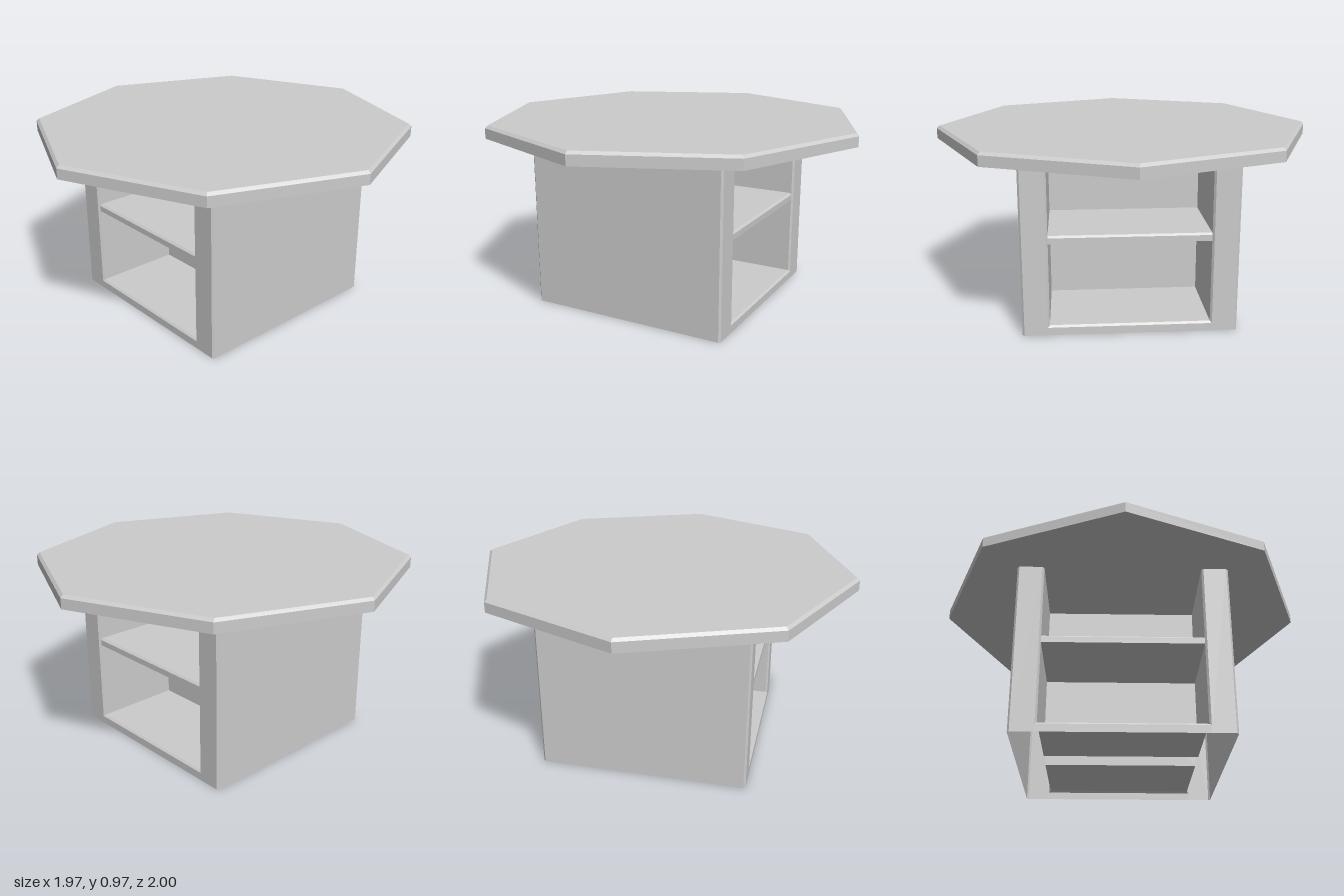
import * as THREE from 'three';

const wood = new THREE.MeshStandardMaterial({ color: 0xcccccc, flatShading: true, side: THREE.DoubleSide });
wood.name = 'pale grey';

const HALF = 0.54;      // half width of the base
const TOP = 0.905;      // underside of the table top
const BEVEL = 0.01;
const INNER = 0.403;    // half width of the compartment
const FLOOR = 0.05;     // height of the compartment floor
const BACK = 0.07;      // z of the compartment's back wall

// One mesh from flat four-cornered faces, corners anticlockwise from outside
function faces(name, quads) {
  const positions = [];
  for (const [a, b, c, d] of quads) positions.push(...a, ...b, ...c, ...a, ...c, ...d);
  const geometry = new THREE.BufferGeometry();
  geometry.setAttribute('position', new THREE.Float32BufferAttribute(positions, 3));
  geometry.computeVertexNormals();
  const mesh = new THREE.Mesh(geometry, wood);
  mesh.name = name;
  return mesh;
}

// Upright rectangle standing between two plan points [x, z]
const upright = ([x0, z0], [x1, z1], y0, y1) =>
  [[x0, y0, z0], [x1, y0, z1], [x1, y1, z1], [x0, y1, z0]];

function createHalf() {
  const half = new THREE.Group();
  const e = HALF - BEVEL;
  const o = INNER + BEVEL;       // opening before its bevel
  const sill = FLOOR - BEVEL;

  // Face frame: two stiles and a bottom rail
  half.add(faces('faceFrame', [
    upright([-e, HALF], [-o, HALF], 0, TOP),
    upright([o, HALF], [e, HALF], 0, TOP),
    upright([-o, HALF], [o, HALF], 0, sill),
  ]));

  // Side panel with the chamfered corners at its two ends
  half.add(faces('sidePanel', [
    upright([e, HALF], [HALF, e], 0, TOP),
    upright([HALF, e], [HALF, -e], 0, TOP),
    upright([HALF, -e], [e, -HALF], 0, TOP),
  ]));

  // Bevel around the opening
  half.add(faces('openingBevel', [
    [[-o, sill, HALF], [-INNER, FLOOR, e], [-INNER, TOP, e], [-o, TOP, HALF]],
    [[INNER, FLOOR, e], [o, sill, HALF], [o, TOP, HALF], [INNER, TOP, e]],
    [[-o, sill, HALF], [o, sill, HALF], [INNER, FLOOR, e], [-INNER, FLOOR, e]],
  ]));

  // Compartment walls and floor, hollow underneath
  half.add(faces('compartment', [
    upright([-INNER, e], [-INNER, BACK], FLOOR, TOP),
    upright([-INNER, BACK], [INNER, BACK], FLOOR, TOP),
    upright([INNER, BACK], [INNER, e], FLOOR, TOP),
    [[-INNER, FLOOR, e], [INNER, FLOOR, e], [INNER, FLOOR, BACK], [-INNER, FLOOR, BACK]],
  ]));

  // Shelf with a bevelled upper front edge
  const profile = new THREE.Shape([
    [BACK, 0.475], [e, 0.475], [e, 0.505], [e - BEVEL, 0.515], [BACK, 0.515],
  ].map(([z, y]) => new THREE.Vector2(z, y)));
  const shelfGeometry = new THREE.ExtrudeGeometry(profile, { depth: 2 * INNER, bevelEnabled: false });
  shelfGeometry.rotateY(-Math.PI / 2).translate(INNER, 0, 0);
  const shelf = new THREE.Mesh(shelfGeometry, wood);
  shelf.name = 'shelf';
  half.add(shelf);
  return half;
}

export function createModel() {
  const model = new THREE.Group();
  model.name = 'octagonalTable';

  // Two identical halves, back to back
  ['frontHalf', 'backHalf'].forEach((name, i) => {
    const half = createHalf();
    half.name = name;
    half.rotation.y = i * Math.PI;
    model.add(half);
  });

  // Eight-sided top with a bevelled upper rim
  const rim = [[0, TOP], [1, TOP], [1, 0.958], [0.985, 0.972], [0, 0.972]]
    .map(([r, y]) => new THREE.Vector2(r, y));
  const tableTop = new THREE.Mesh(new THREE.LatheGeometry(rim, 8).scale(0.985, 1, 1), wood);
  tableTop.name = 'tableTop';
  model.add(tableTop);

  return model;
}
